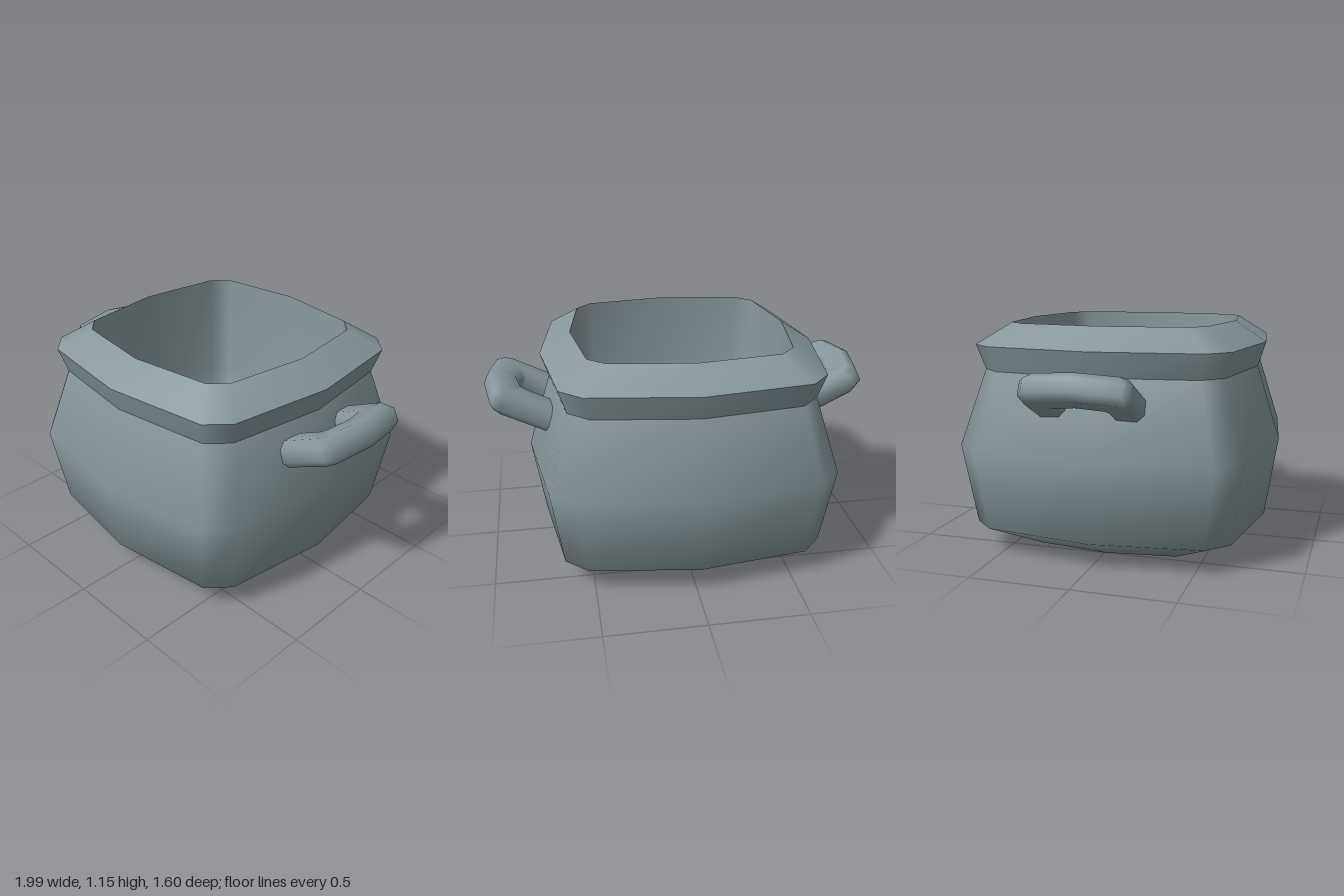
import * as THREE from 'three';

// Skin a list of closed rings (arrays of Vector3) with smooth normals.
function loft(rings) {
  const n = rings[0].length;
  const index = [];
  for (let i = 0; i < rings.length - 1; i++) {
    for (let j = 0; j < n; j++) {
      const k = (j + 1) % n;
      const a = i * n + j, b = i * n + k, c = a + n, d = b + n;
      index.push(a, c, b, b, c, d);
    }
  }
  const geometry = new THREE.BufferGeometry().setFromPoints(rings.flat());
  geometry.setIndex(index);
  geometry.computeVertexNormals();
  return geometry;
}

// Rounded-square outline of twelve points: bowed sides and cut corners.
function potRing([radius, y]) {
  const quadrant = [[1, 0], [0.89, 0.75], [0.75, 0.9]];
  const ring = [];
  for (let q = 0; q < 4; q++) {
    const cos = Math.round(Math.cos(q * Math.PI / 2));
    const sin = Math.round(Math.sin(q * Math.PI / 2));
    for (const [x, z] of quadrant) {
      ring.push(new THREE.Vector3(
        radius * (x * cos - z * sin) - 0.02, y, radius * (x * sin + z * cos)));
    }
  }
  return ring;
}

// Faceted bar section spanning from an inner to an outer point of the handle.
function barRing([innerU, innerZ, outerU, outerZ]) {
  const section = [[1, 0.5], [0.6, 1], [-0.6, 1], [-1, 0.5],
    [-1, -0.5], [-0.6, -1], [0.6, -1], [1, -0.5]];
  return section.map(([s, v]) => {
    const t = (s + 1) / 2;
    return new THREE.Vector3(
      THREE.MathUtils.lerp(innerU, outerU, t), v * 0.0675,
      THREE.MathUtils.lerp(innerZ, outerZ, t));
  });
}

export function createModel() {
  const model = new THREE.Group();
  model.name = 'cookingPot';
  const iron = new THREE.MeshStandardMaterial({ color: 0x87979c });
  iron.name = 'greyIron';

  // Pot sections as [radius, height]; each is smooth, with hard edges between.
  const sections = {
    body: [[0, 0], [0.48, 0], [0.735, 0.13], [0.8, 0.54], [0.68, 0.92]],
    neck: [[0.68, 0.92], [0.72, 1.045]],
    rim: [[0.72, 1.045], [0.56, 1.15]],
    inside: [[0.56, 1.15], [0.54, 0.6], [0.47, 0.12], [0, 0.08]],
  };
  for (const [name, profile] of Object.entries(sections)) {
    const mesh = new THREE.Mesh(loft(profile.map(potRing)), iron);
    mesh.name = name;
    model.add(mesh);
  }

  // Handle: half of the bracket, mirrored about its middle, tilted upward.
  const half = [
    [-0.08, 0.11, -0.08, 0.27],
    [0.1, 0.11, 0.215, 0.27],
    [0.115, 0.1, 0.265, 0.235],
  ];
  const mirrored = half.map(([a, b, c, d]) => [a, -b, c, -d]).reverse();
  const bar = loft([...half, [0.145, 0, 0.305, 0], ...mirrored].map(barRing));
  bar.rotateZ(0.458);
  bar.translate(0.705, 0.794, 0);

  for (const [name, turn] of [['leftHandle', 0], ['rightHandle', Math.PI]]) {
    const handle = new THREE.Mesh(bar, iron);
    handle.name = name;
    handle.rotation.y = turn;
    model.add(handle);
  }
  return model;
}
